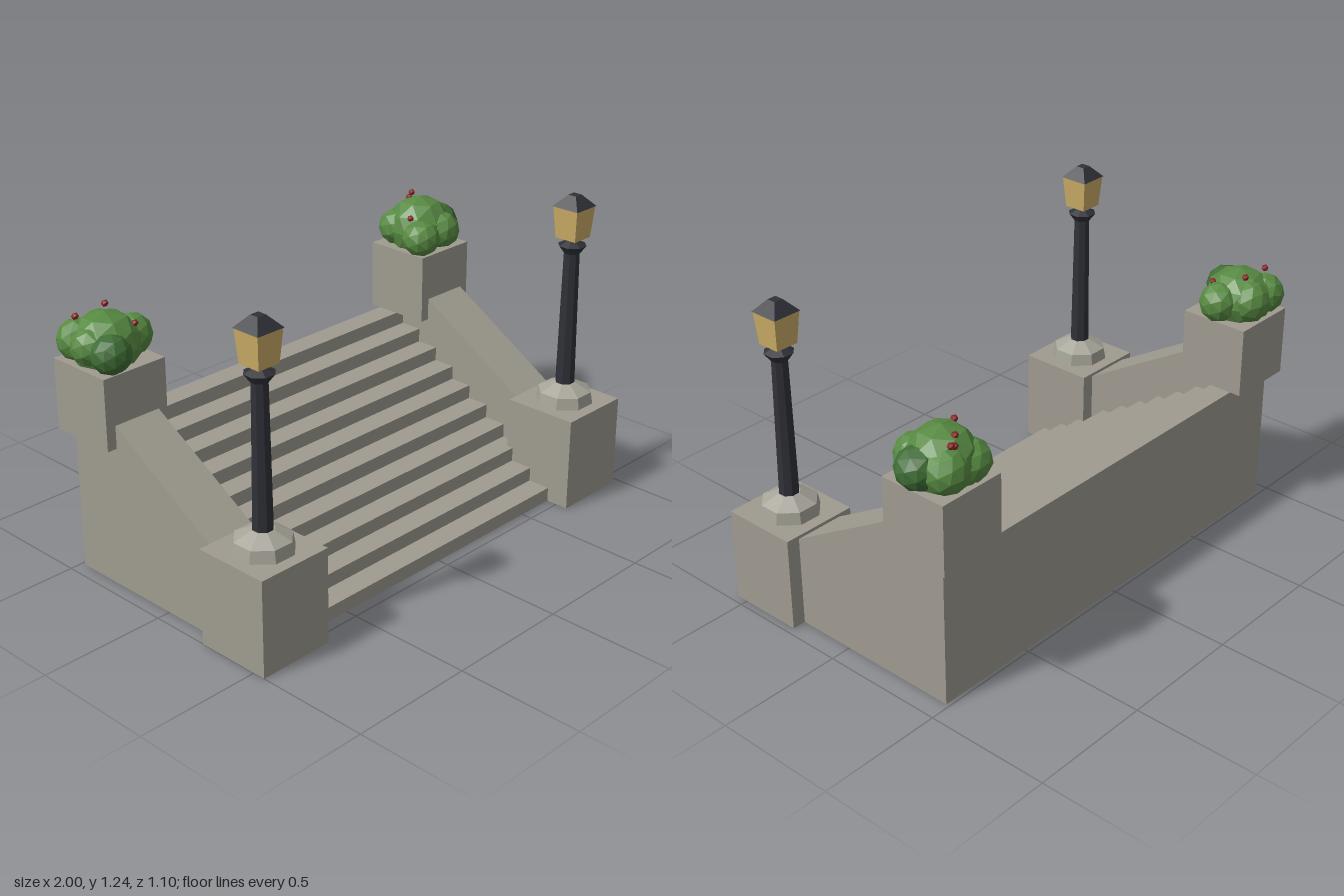
import * as THREE from 'three';

const mat = (name, color, flatShading = true) => {
  const m = new THREE.MeshStandardMaterial({ color, flatShading });
  m.name = name;
  return m;
};

export function createModel() {
  const stone = mat('stone', 0x9f9b90);
  const paleStone = mat('pale stone', 0xa6a498);
  const iron = mat('dark iron', 0x303138);
  const glass = mat('lamp glass', 0xc9ac66);
  const leaf = mat('leaf green', 0x578a42);
  const darkLeaf = mat('dark leaf green', 0x3f6d35);
  const red = mat('berry red', 0x8a2323);

  const root = new THREE.Group();
  root.name = 'gardenStairs';
  const CX = -0.015;

  const add = (parent, name, geo, material, x = 0, y = 0, z = 0) => {
    const m = new THREE.Mesh(geo, material);
    m.name = name;
    m.position.set(x, y, z);
    parent.add(m);
    return m;
  };

  // Side profile of [z, y] points, extruded across x and centred
  const profile = (pts, width) => {
    const shape = new THREE.Shape(pts.map(p => new THREE.Vector2(p[0], p[1])));
    const g = new THREE.ExtrudeGeometry(shape, { depth: width, bevelEnabled: false });
    g.rotateY(-Math.PI / 2);
    return g.translate(width / 2, 0, 0);
  };

  // Ten steps
  const steps = [[0.455, 0]];
  const rise = 0.057, tread = 0.094;
  for (let i = 0; i < 10; i++) {
    const z = 0.455 - i * tread;
    steps.push([z, (i + 1) * rise], [z - tread, (i + 1) * rise]);
  }
  steps.push([-0.485, 0]);
  add(root, 'steps', profile(steps, 1.46), stone, CX);

  // Tapered prism with n sides, flats facing the axes
  const prism = (rTop, rBottom, h, n, openEnded = false) => {
    const k = 1 / Math.cos(Math.PI / n);
    return new THREE.CylinderGeometry(rTop * k, rBottom * k, h, n, 1, openEnded).rotateY(Math.PI / n);
  };

  // Both sides: wall, coping, pedestals and lamp
  for (const s of [-1, 1]) {
    const side = new THREE.Group();
    side.name = s < 0 ? 'rightSide' : 'leftSide';
    side.position.x = CX + s * 0.83;
    root.add(side);

    add(side, 'sideWall', profile([[0.24, 0], [0.24, 0.325], [-0.25, 0.617],
      [-0.25, 0.57], [-0.485, 0.57], [-0.485, 0]], 0.2), stone);
    add(side, 'slopedCoping', profile([[0.24, 0.325], [0.24, 0.367],
      [-0.25, 0.66], [-0.25, 0.617]], 0.2), stone);
    add(side, 'lampPedestal', new THREE.BoxGeometry(0.31, 0.38, 0.31), stone, 0, 0.19, 0.395);
    add(side, 'planter', new THREE.BoxGeometry(0.28, 0.28, 0.28), stone, 0, 0.71, -0.39);

    const lamp = new THREE.Group();
    lamp.name = 'lamp';
    lamp.position.set(0, 0.38, 0.395);
    side.add(lamp);
    add(lamp, 'lampBase', prism(0.1, 0.108, 0.047, 8), paleStone, 0, 0.0235);
    add(lamp, 'lampBaseSlope', prism(0.04, 0.1, 0.033, 8), paleStone, 0, 0.0635);
    add(lamp, 'lampPost', prism(0.029, 0.036, 0.55, 8), iron, 0, 0.352);
    add(lamp, 'lampCollar', prism(0.052, 0.03, 0.032, 8), iron, 0, 0.643);
    add(lamp, 'lampCollarTop', prism(0.004, 0.052, 0.028, 8), iron, 0, 0.673);
    add(lamp, 'lantern', prism(0.057, 0.047, 0.127, 4), glass, 0, 0.7525);
    add(lamp, 'lanternRoof', prism(0.018, 0.06, 0.046, 4), iron, 0, 0.838);
  }

  // Leaf clump: faceted ball, squashed and cut flat at the planter top
  const clump = (parent, [x, y, z, r, ry, dark], i) => {
    const g = new THREE.IcosahedronGeometry(1, 1);
    g.rotateY(i * 0.9 + 0.3).rotateZ(i * 0.6).scale(r, ry, r);
    const p = g.attributes.position;
    for (let k = 0; k < p.count; k++) p.setY(k, Math.max(p.getY(k), 0.848 - y));
    g.computeVertexNormals();
    add(parent, 'leafClump' + (i + 1), g, dark ? darkLeaf : leaf, x, y, z);
  };

  const shrubs = [
    {
      name: 'rightShrub',
      clumps: [
        [-0.85, 0.905, -0.40, 0.135, 0.125, 0], [-0.745, 0.915, -0.38, 0.078, 0.08, 0],
        [-0.91, 0.91, -0.295, 0.078, 0.075, 1], [-0.92, 0.92, -0.47, 0.078, 0.08, 0],
        [-0.82, 0.92, -0.47, 0.08, 0.085, 0], [-0.925, 0.92, -0.385, 0.078, 0.075, 0]],
      berries: [[-0.935, 1.017, -0.455], [-0.797, 1.025, -0.46], [-0.77, 0.978, -0.33]],
    },
    {
      name: 'leftShrub',
      clumps: [
        [0.82, 0.915, -0.40, 0.135, 0.135, 0], [0.915, 0.92, -0.385, 0.085, 0.08, 1],
        [0.725, 0.91, -0.305, 0.08, 0.075, 0], [0.85, 0.915, -0.31, 0.08, 0.08, 0],
        [0.765, 0.915, -0.465, 0.085, 0.08, 0], [0.87, 0.92, -0.465, 0.085, 0.085, 0]],
      berries: [[0.82, 1.03, -0.46], [0.85, 1.012, -0.487], [0.877, 1.028, -0.497], [0.697, 0.995, -0.34]],
    },
  ];
  for (const { name, clumps, berries } of shrubs) {
    const shrub = new THREE.Group();
    shrub.name = name;
    root.add(shrub);
    clumps.forEach((c, i) => clump(shrub, c, i));
    berries.forEach((b, i) =>
      add(shrub, 'berry' + (i + 1), new THREE.IcosahedronGeometry(0.014, 0), red, ...b));
  }

  return root;
}
